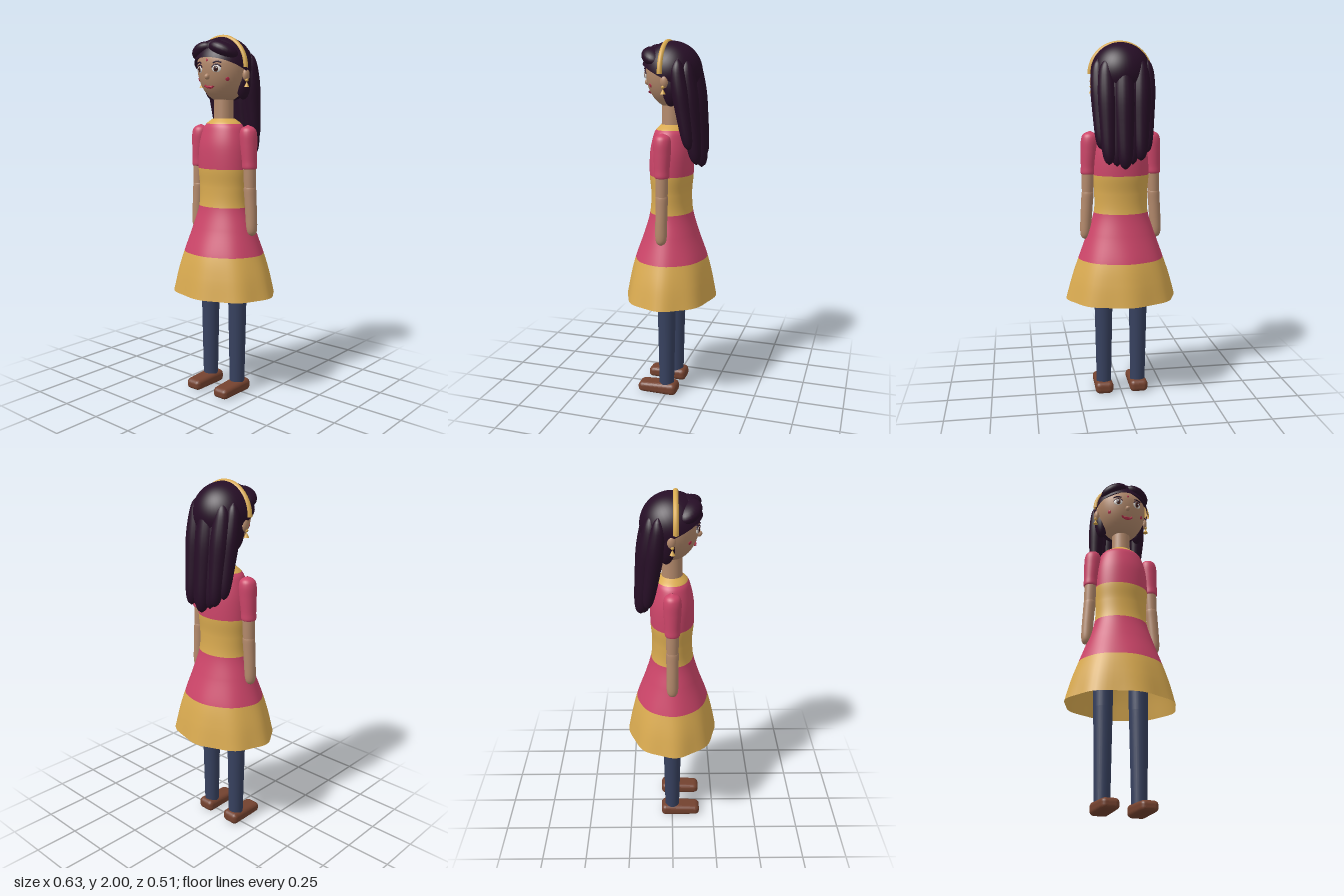
import * as THREE from 'three';
import { ParametricGeometry } from 'three/addons/geometries/ParametricGeometry.js';
import { RoundedBoxGeometry } from 'three/addons/geometries/RoundedBoxGeometry.js';

const mat = (name, color, side = THREE.FrontSide) => {
  const m = new THREE.MeshStandardMaterial({ color, side });
  m.name = name;
  return m;
};

export function createModel() {
  const skin = mat('skin', 0xb48a6c);
  const pink = mat('pink cloth', 0xcc4569, THREE.DoubleSide);
  const gold = mat('gold', 0xd9aa50, THREE.DoubleSide);
  const hair = mat('dark hair', 0x260e26, THREE.DoubleSide);
  const denim = mat('blue leggings', 0x37415f);
  const leather = mat('brown leather', 0x74422f);
  const white = mat('eye white', 0xf2eeea);
  const brown = mat('iris brown', 0x4a2418);
  const red = mat('lip red', 0xb82f4a);

  const model = new THREE.Group();
  const add = (name, geometry, material, x = 0, y = 0, z = 0, parent = model) => {
    const m = new THREE.Mesh(geometry, material);
    m.name = name;
    m.position.set(x, y, z);
    parent.add(m);
    return m;
  };
  const ball = (name, material, p, s, parent = model) => {
    const m = add(name, new THREE.SphereGeometry(1, 24, 16), material, ...p, parent);
    m.scale.set(...s);
    return m;
  };

  // Skin over horizontal rings, listed bottom to top as [x, y, z, rx, rz]
  const loft = (keys, { from = 0, to = keys.length - 1, wave = () => 1, slices = 28, stacks = 28 } = {}) => {
    const mid = new THREE.CatmullRomCurve3(keys.map(k => new THREE.Vector3(k[0], k[1], k[2])), false, 'catmullrom');
    const rad = new THREE.CatmullRomCurve3(keys.map(k => new THREE.Vector3(k[3], 0, k[4] ?? k[3])), false, 'catmullrom');
    const n = keys.length - 1;
    return new ParametricGeometry((u, v, out) => {
      const t = Math.min(1, Math.max(0, (from + (to - from) * v) / n));
      const a = u * Math.PI * 2, c = mid.getPoint(t), r = rad.getPoint(t), w = wave(a, c.y);
      out.set(c.x + r.x * w * Math.cos(a), c.y, c.z - r.z * w * Math.sin(a));
    }, slices, stacks);
  };

  // Dress: banded bell with a gently rippled hem
  const dress = [
    [0, 0.58, 0, 0.308, 0.25], [0, 0.7, 0, 0.277, 0.228], [0, 0.81, 0, 0.24, 0.2], [0, 0.95, 0, 0.19, 0.15],
    [0, 1.07, 0, 0.152, 0.117], [0, 1.18, 0, 0.149, 0.11], [0, 1.28, 0, 0.156, 0.118], [0, 1.4, 0, 0.15, 0.116],
    [0, 1.49, 0, 0.128, 0.098], [0, 1.525, 0, 0.105, 0.083], [0, 1.553, 0, 0.064, 0.056],
  ];
  const ripple = (a, y) => 1 + 0.021 * Math.max(0, (1.0 - y) / 0.42) ** 1.5 * Math.cos(8 * (a - 0.09));
  [['skirtHem', 0, 2, gold], ['skirt', 2, 4, pink], ['waistBand', 4, 6, gold], ['bodice', 6, 9, pink], ['collar', 9, 10, gold]]
    .forEach(([name, from, to, m]) => add(name, loft(dress, { from, to, wave: ripple, slices: 64, stacks: 14 }), m));

  add('neck', new THREE.CylinderGeometry(0.053, 0.055, 0.17, 28), skin, 0, 1.6, 0);

  // Limbs
  for (const s of [-1, 1]) {
    const side = s > 0 ? 'left' : 'right';
    add(side + 'Sleeve', loft([
      [s * 0.183, 1.285, 0, 0.02], [s * 0.183, 1.288, 0, 0.039], [s * 0.181, 1.33, 0, 0.041], [s * 0.176, 1.41, 0, 0.046],
      [s * 0.173, 1.47, 0, 0.047], [s * 0.172, 1.502, 0, 0.036], [s * 0.171, 1.52, 0, 0.003],
    ]), pink);
    add(side + 'UpperArm', loft([
      [s * 0.186, 1.18, 0, 0.032], [s * 0.184, 1.25, 0, 0.034], [s * 0.182, 1.32, 0, 0.035],
    ]), skin);
    add(side + 'Forearm', loft([
      [s * 0.202, 0.918, 0, 0.003], [s * 0.201, 0.93, 0, 0.021, 0.022], [s * 0.2, 0.96, 0, 0.029, 0.031],
      [s * 0.196, 1.03, 0, 0.032], [s * 0.19, 1.12, 0, 0.033], [s * 0.186, 1.175, 0, 0.034], [s * 0.186, 1.19, 0, 0.03],
    ]), skin);
    add(side + 'Shin', new THREE.CylinderGeometry(0.052, 0.042, 0.51, 28), denim, s * 0.1, 0.305, 0);
    add(side + 'Thigh', new THREE.CylinderGeometry(0.06, 0.052, 0.42, 28), denim, s * 0.1, 0.77, 0);

    // Shoe with a lower, narrower toe
    const shoe = new RoundedBoxGeometry(0.104, 0.07, 0.23, 4, 0.026);
    const p = shoe.attributes.position;
    for (let i = 0; i < p.count; i++) {
      const t = Math.max(0, p.getZ(i) / 0.115);
      p.setX(i, p.getX(i) * (1 - 0.1 * t));
      p.setY(i, (p.getY(i) + 0.035) * (1 - 0.2 * t));
    }
    shoe.computeVertexNormals();
    add(side + 'Shoe', shoe, leather, s * 0.101, 0, 0.05);
  }

  // Head: half-ellipsoids meeting at brow height
  const HY = 1.84, HR = 0.148, HZ = 0.95;
  const headKeys = [];
  const low = 0.2, high = 0.13;
  const headGeo = new THREE.SphereGeometry(1, 40, 32);
  const hp = headGeo.attributes.position;
  for (let i = 0; i < hp.count; i++) {
    const y = hp.getY(i);
    hp.setXYZ(i, hp.getX(i) * HR, y * (y < 0 ? low : high), hp.getZ(i) * HR * HZ);
  }
  headGeo.computeVertexNormals();
  add('head', headGeo, skin, 0, HY, 0);

  // Sets a group on the face surface, turned outward
  const onFace = (name, x, y, lift = 0) => {
    const t = (HY - y) / (y < HY ? low : high);
    const z = HZ * Math.sqrt(Math.max(0, HR * HR * (1 - t * t) - x * x));
    const n = new THREE.Vector3(x / HR ** 2, (y - HY) / (y < HY ? low : high) ** 2, z / (HR * HZ) ** 2).normalize();
    const g = new THREE.Group();
    g.name = name;
    g.position.set(x, y, z).addScaledVector(n, lift);
    g.lookAt(g.position.clone().add(n));
    model.add(g);
    return g;
  };
  const arc = (name, m, r, tube, span, up, g, y = 0) => {
    const a = add(name, new THREE.TorusGeometry(r, tube, 6, 20, span), m, 0, y, 0, g);
    a.rotation.z = (up ? Math.PI / 2 : -Math.PI / 2) - span / 2;
    return a;
  };

  for (const s of [-1, 1]) {
    const eye = onFace('eye', s * 0.058, 1.815);
    ball('eyeWhite', white, [0, 0, 0.001], [0.026, 0.019, 0.006], eye);
    ball('iris', brown, [-s * 0.002, 0, 0.004], [0.014, 0.016, 0.005], eye);
    ball('pupil', hair, [-s * 0.002, 0, 0.006], [0.007, 0.009, 0.004], eye);
    ball('eyeGlint', white, [0.004, 0.006, 0.009], [0.003, 0.003, 0.002], eye);
    arc('lashes', hair, 0.028, 0.004, 2.2, true, eye, -0.006);
    const brow = onFace('eyebrow', s * 0.062, 1.852, 0.002);
    arc('browArc', hair, 0.04, 0.004, 1.25, true, brow, -0.04);
    ball('blush', red, [0, 0, 0], [0.011, 0.011, 0.003], onFace('cheek', s * 0.1, 1.762));

    // Ears and earrings
    ball('ear', skin, [s * 0.152, 1.785, -0.005], [0.017, 0.034, 0.022]);
    ball('earStud', gold, [s * 0.16, 1.757, 0], [0.009, 0.009, 0.009]);
    add('earDrop', new THREE.ConeGeometry(0.014, 0.028, 16), gold, s * 0.16, 1.735, 0);

    // Fringe sweep and lock behind the ear
    const fringe = ball('fringe', hair, [s * 0.066, 1.91, 0.08], [0.086, 0.044, 0.066]);
    fringe.rotation.set(-0.15, s * 0.45, -s * 0.32);
    ball('sideLock', hair, [s * 0.113, 1.765, -0.03], [0.042, 0.11, 0.048]);
  }
  ball('nose', skin, [0, 1.775, 0.137], [0.014, 0.016, 0.016]);
  ball('foreheadDot', red, [0, 0, 0], [0.007, 0.008, 0.003], onFace('forehead', 0, 1.862));
  const mouth = onFace('mouth', 0, 1.722, 0.003);
  arc('smile', red, 0.042, 0.006, 1.7, false, mouth, 0.038);
  ball('upperLip', red, [0, 0.002, 0.001], [0.02, 0.006, 0.006], mouth);

  // Hair cap, tilted to bare the face
  const cap = add('hairCap', new THREE.SphereGeometry(0.164, 40, 24, 0, Math.PI * 2, 0, 1.72), hair, 0, 1.827, -0.002);
  cap.rotation.x = -0.45;
  ball('crownFront', hair, [0, 1.925, 0.07], [0.075, 0.05, 0.062]);
  ball('backHair', hair, [0, 1.78, -0.075], [0.135, 0.13, 0.08]);

  // Long strands down the back
  [[0, 1.325, -0.115, -0.17, 0.06], [0.092, 1.35, -0.105, -0.16, 0.054], [-0.092, 1.37, -0.105, -0.16, 0.054],
    [0.132, 1.43, -0.07, -0.13, 0.046], [-0.132, 1.41, -0.07, -0.13, 0.046],
    [0.045, 1.34, -0.1, -0.15, 0.05], [-0.045, 1.35, -0.1, -0.15, 0.05]].forEach(([x, y0, zTop, zEnd, r]) => {
    const shape = [[0, 0.05], [0.04, 0.45], [0.15, 0.7], [0.4, 0.88], [0.65, 1], [0.85, 0.85], [0.95, 0.5], [1, 0.05]];
    add('hairStrand', loft(shape.map(([t, k]) =>
      [x * (0.93 + 0.07 * t), y0 + (1.9 - y0) * t, zEnd + (zTop - zEnd) * Math.min(1, t * 1.2), r * k]), { slices: 20 }), hair);
  });

  // Headband
  const band = add('headband', new THREE.TorusGeometry(0.163, 0.014, 12, 48, Math.PI), gold, 0, 1.823, 0.017);
  band.scale.x = 1.01;

  return model;
}
